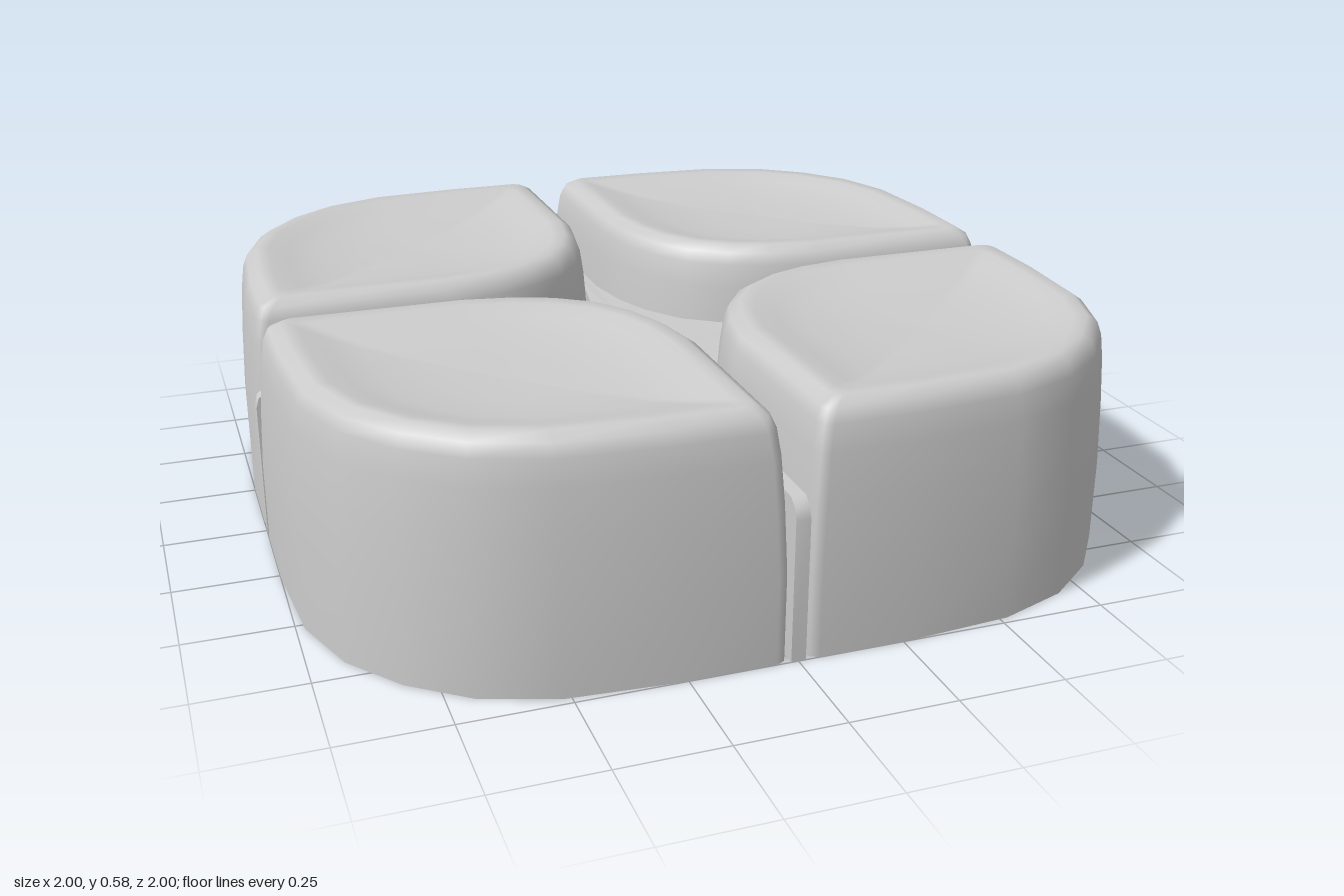
import * as THREE from 'three';
import { toCreasedNormals } from 'three/addons/utils/BufferGeometryUtils.js';

// Inner curve of a cushion, running from the z arm to the x arm
const INNER = [[0.02, 0.5], [0.045, 0.36], [0.085, 0.255], [0.155, 0.155],
  [0.255, 0.085], [0.36, 0.045], [0.5, 0.02]];

// Outer curve with small rounded corners
const OUTER = [[0.97, 0.02], [0.99, 0.03], [1, 0.05], [1, 0.26], [0.98, 0.52], [0.92, 0.69], [0.82, 0.82],
  [0.69, 0.92], [0.52, 0.98], [0.26, 1], [0.05, 1], [0.03, 0.99], [0.02, 0.97]];

// Joins closed rings of [x, y, z] points, bottom to top
function loft(rings) {
  const n = rings[0].length;
  const index = [];
  for (let i = 0; i < rings.length - 1; i++) {
    for (let j = 0; j < n; j++) {
      const k = (j + 1) % n;
      const a = i * n + j, b = i * n + k, c = a + n, d = b + n;
      index.push(a, c, b, b, c, d);
    }
  }
  const geo = new THREE.BufferGeometry();
  geo.setAttribute('position', new THREE.Float32BufferAttribute(rings.flat(2), 3));
  geo.setIndex(index);
  geo.computeVertexNormals();
  return geo;
}

// Open-bottomed cushion: tapering wall, soft rim and dished top
function cushionGeometry() {
  const outline = [...OUTER, ...INNER];
  const mid = 0.51;
  const profile = [[1, 0], [1, 0.2], [0.985, 0.36], [0.968, 0.47], [0.95, 0.53], [0.925, 0.56],
    [0.87, 0.578], [0.8, 0.575], [0.7, 0.562], [0.55, 0.547], [0.3, 0.538], [0, 0.535]];
  return loft(profile.map(([s, y]) =>
    outline.map(([x, z]) => [mid + (x - mid) * s, y, mid + (z - mid) * s])));
}

// One ring of the four-armed divider, with arms reaching to tip
function starRing(tip, y, scale = 1) {
  const gap = 0.003;
  const quarter = [[tip, 0.02 - gap], ...[...INNER].reverse().map(([x, z]) => [x - gap, z - gap]), [0.02 - gap, tip]];
  const ring = [];
  for (let q = 0; q < 4; q++) {
    for (const [x, z] of quarter) {
      const [px, pz] = [[x, z], [-z, x], [-x, -z], [z, -x]][q];
      ring.push([px * scale, y, pz * scale]);
    }
  }
  return ring;
}

export function createModel() {
  const model = new THREE.Group();
  model.name = 'cushionSet';
  const grey = new THREE.MeshStandardMaterial({ color: 0xcccccc, side: THREE.DoubleSide });
  grey.name = 'light grey';

  // Four cushions, one per quarter
  const geo = cushionGeometry();
  ['frontLeft', 'backLeft', 'backRight', 'frontRight'].forEach((name, i) => {
    const cushion = new THREE.Mesh(geo, grey);
    cushion.name = name + 'Cushion';
    cushion.rotation.y = i * Math.PI / 2;
    model.add(cushion);
  });

  // Star-shaped divider with rounded arm ends, open below
  const star = loft([starRing(1, 0), starRing(1, 0.335), starRing(0.993, 0.36),
    starRing(0.97, 0.378), starRing(0.97, 0.378, 0)]);
  const divider = new THREE.Mesh(toCreasedNormals(star, 0.75), grey);
  divider.name = 'divider';
  model.add(divider);

  return model;
}
